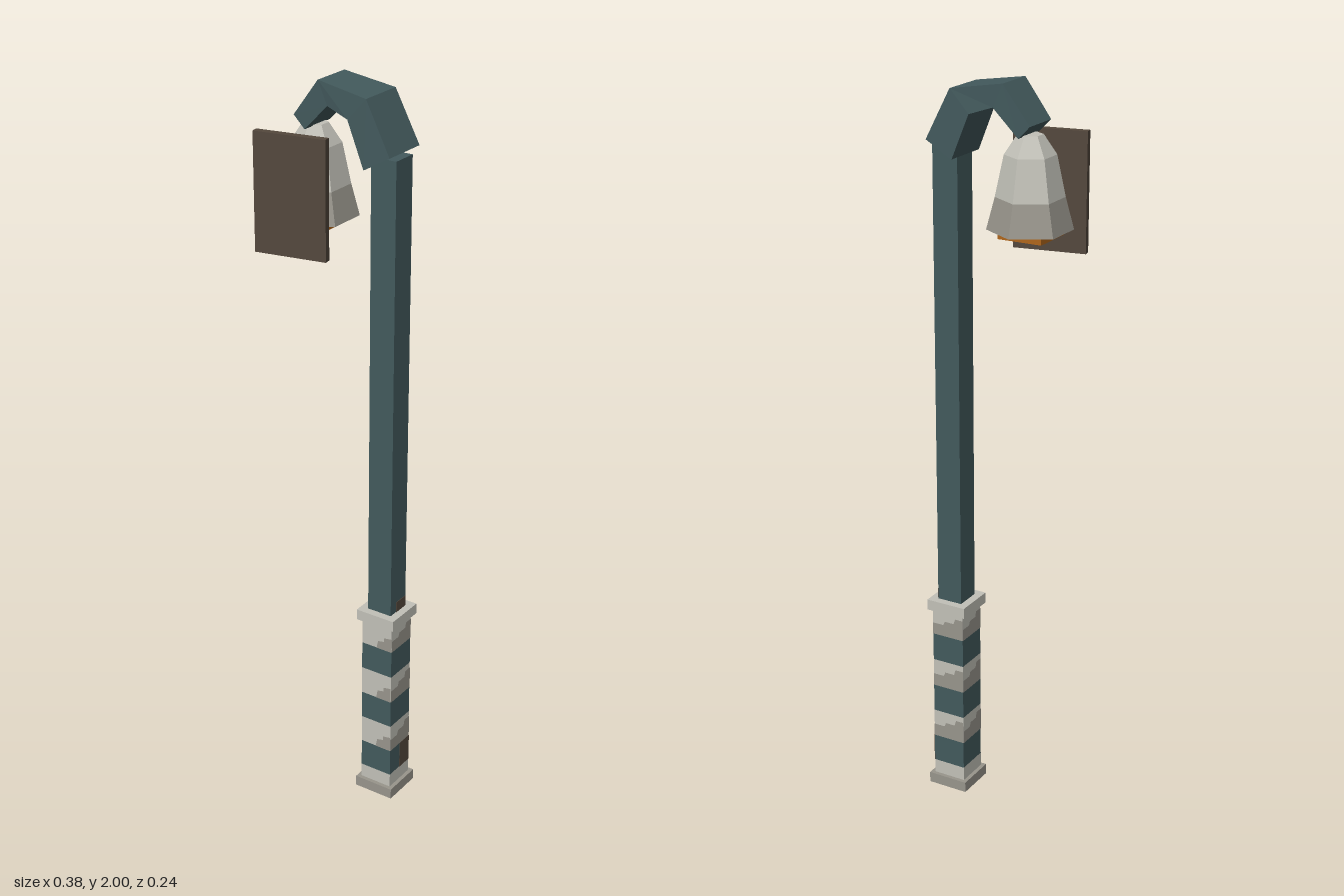
import * as THREE from 'three';

const mat = (name, color) => Object.assign(new THREE.MeshStandardMaterial({ color, flatShading: true }), { name });

export function createModel() {
  const teal = mat('teal paint', 0x435a5d);
  const pale = mat('pale stone', 0xc2c1b8);
  const grey = mat('grey stone', 0x98958c);
  const brown = mat('dark wood', 0x54483d);
  const orange = mat('lamp glow', 0xb0661b);

  const model = new THREE.Group();
  model.name = 'streetLamp';
  const add = (name, geometry, material, x = 0, y = 0, z = 0, parent = model) => {
    const mesh = new THREE.Mesh(geometry, material);
    mesh.name = name;
    mesh.position.set(x, y, z);
    parent.add(mesh);
    return mesh;
  };
  // Square block between two heights, centred on the post
  const PX = 0.131, PZ = -0.011;
  const block = (name, width, y0, y1, material) =>
    add(name, new THREE.BoxGeometry(width, y1 - y0, width), material, PX, (y0 + y1) / 2, PZ);

  // Plinth: trims with alternating pale and teal bands
  const H = 0.047;
  block('bottomTrim', 0.116, 0, 0.03, [grey, grey, grey, brown, grey, grey]);
  block('topTrim', 0.116, 0.545, 0.575, [pale, pale, pale, grey, pale, pale]);
  const edges = [0.03, 0.07, 0.15, 0.23, 0.31, 0.39, 0.47, 0.545];
  for (let i = 0; i < 7; i++) {
    block(i % 2 ? 'tealBand' : 'paleBand', H * 2, edges[i], edges[i + 1], i % 2 ? teal : pale);
  }

  // Worn grey patches on the pale bands: outline in half-widths and band height
  const frontPatch = [[0, 0], [1, 0], [1, 0.55], [0.5, 0.5], [0.5, 0.35], [0.1, 0.3]];
  const sidePatch = [[-1, 0], [1, 0], [1, 0.8], [0.5, 0.8], [0.4, 0.6], [-0.2, 0.6], [-0.3, 0.45], [-1, 0.45]];
  for (let side = 0; side < 4; side++) {
    const face = new THREE.Group();
    face.name = 'wornFace';
    face.position.set(PX, 0, PZ);
    face.rotation.y = side * Math.PI / 2;
    model.add(face);
    for (const i of [2, 4, 6]) {
      const points = (side ? sidePatch : frontPatch)
        .map(([u, v]) => new THREE.Vector2(u * H, v * (edges[i + 1] - edges[i])));
      add('wornPatch', new THREE.ShapeGeometry(new THREE.Shape(points)), grey, 0, edges[i], H + 0.001, face);
    }
  }
  add('rustPatch', new THREE.BoxGeometry(0.003, 0.08, 0.046), brown, PX + H, 0.11, PZ - 0.024);
  add('poleRust', new THREE.BoxGeometry(0.003, 0.03, 0.045), brown, PX + 0.036, 0.59, PZ - 0.012);

  // Pole
  block('pole', 0.072, 0.57, 1.83, teal);

  // Bent arm lofted through [outer x, outer y, inner x, inner y, half depth]
  const sections = [
    [0.167, 1.845, 0.093, 1.803, 0.066],
    [0.098, 1.977, 0.045, 1.919, 0.064],
    [-0.045, 2.0, -0.018, 1.94, 0.0565],
    [-0.119, 1.903, -0.087, 1.871, 0.0535],
  ];
  const positions = [], index = [];
  for (const [ox, oy, ix, iy, d] of sections) {
    positions.push(ox, oy, PZ + d, ox, oy, PZ - d, ix, iy, PZ - d, ix, iy, PZ + d);
  }
  const quad = (a, b, c, d) => index.push(a, b, c, a, c, d);
  for (let k = 0; k < 3; k++) {
    for (let i = 0; i < 4; i++) {
      const j = (i + 1) % 4;
      quad(4 * k + i, 4 * k + j, 4 * k + 4 + j, 4 * k + 4 + i);
    }
  }
  quad(3, 2, 1, 0);
  quad(12, 13, 14, 15);
  let arm = new THREE.BufferGeometry();
  arm.setAttribute('position', new THREE.Float32BufferAttribute(positions, 3));
  arm.setIndex(index);
  arm = arm.toNonIndexed();
  arm.computeVertexNormals();
  add('bentArm', arm, teal);

  // Six-sided bell shade, darker towards the rim
  const BX = -0.0945, BZ = -0.016;
  const ring = (name, r0, r1, y0, y1, material, open) =>
    add(name, new THREE.CylinderGeometry(r1, r0, y1 - y0, 6, 1, open), material, BX, (y0 + y1) / 2, BZ);
  ring('shadeCap', 0.065, 0.032, 1.825, 1.875, pale, false);
  ring('shadeUpper', 0.087, 0.065, 1.72, 1.825, pale, true);
  ring('shadeLower', 0.1085, 0.087, 1.638, 1.72, grey, false);
  add('lampPanel', new THREE.BoxGeometry(0.122, 0.03, 0.118), orange, BX, 1.633, -0.011);

  // Hanging sign, turned slightly
  add('signBoard', new THREE.BoxGeometry(0.194, 0.31, 0.02), brown, -0.0935, 1.715, 0.092).rotation.y = 0.175;

  return model;
}
